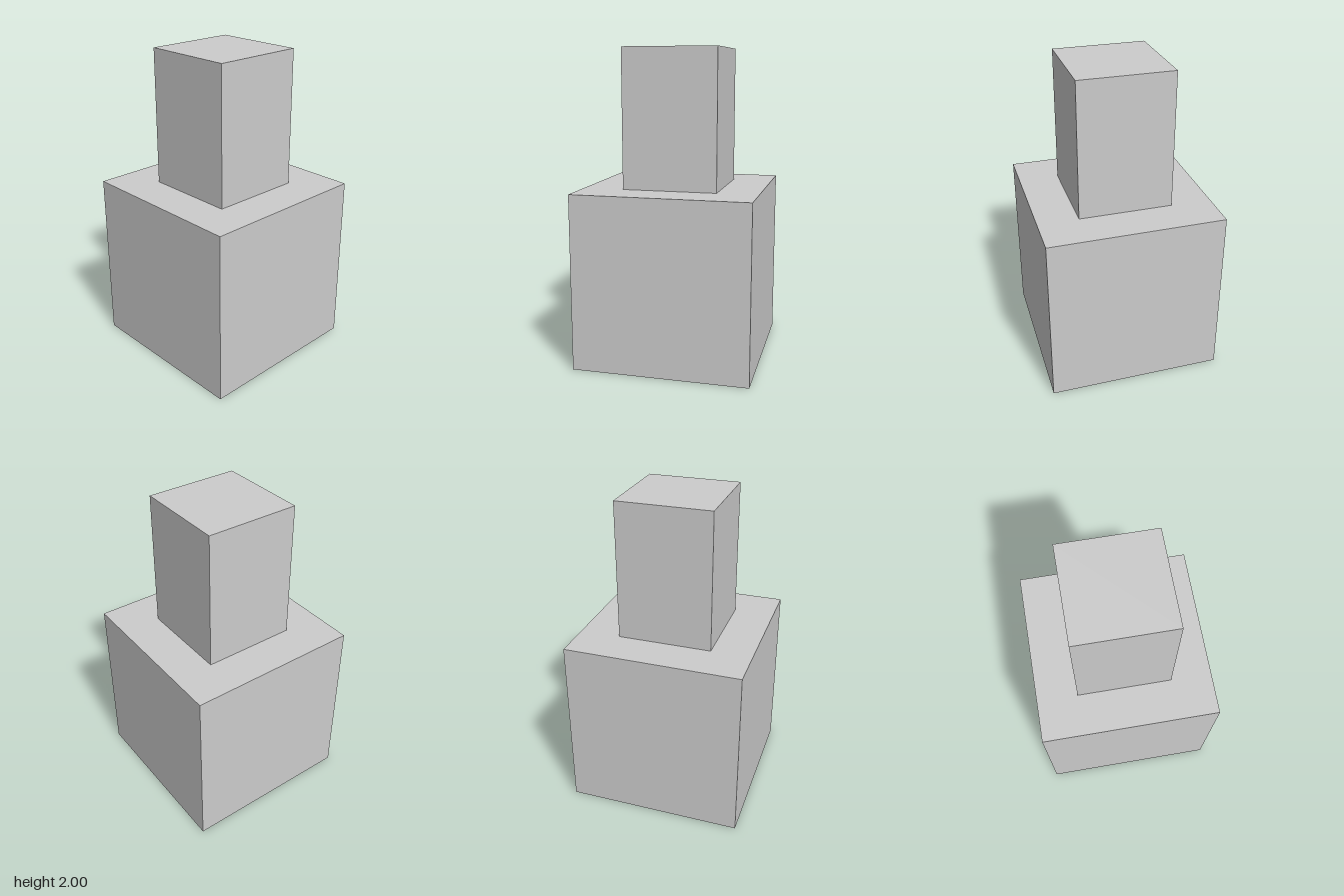
import * as THREE from 'three';

const material = new THREE.MeshStandardMaterial({ color: 0xcccccc });

// Square block standing on height y
function block(name, width, height, y) {
  const mesh = new THREE.Mesh(new THREE.BoxGeometry(width, height, width), material);
  mesh.name = name;
  mesh.position.y = y + height / 2;
  return mesh;
}

export function createModel() {
  const model = new THREE.Group();
  model.name = 'steppedPedestal';

  const baseHeight = 1.12;
  model.add(block('base', 1.12, baseHeight, 0)); // wide cube
  model.add(block('column', 0.6, 2 - baseHeight, baseHeight)); // narrow upper block

  return model;
}
